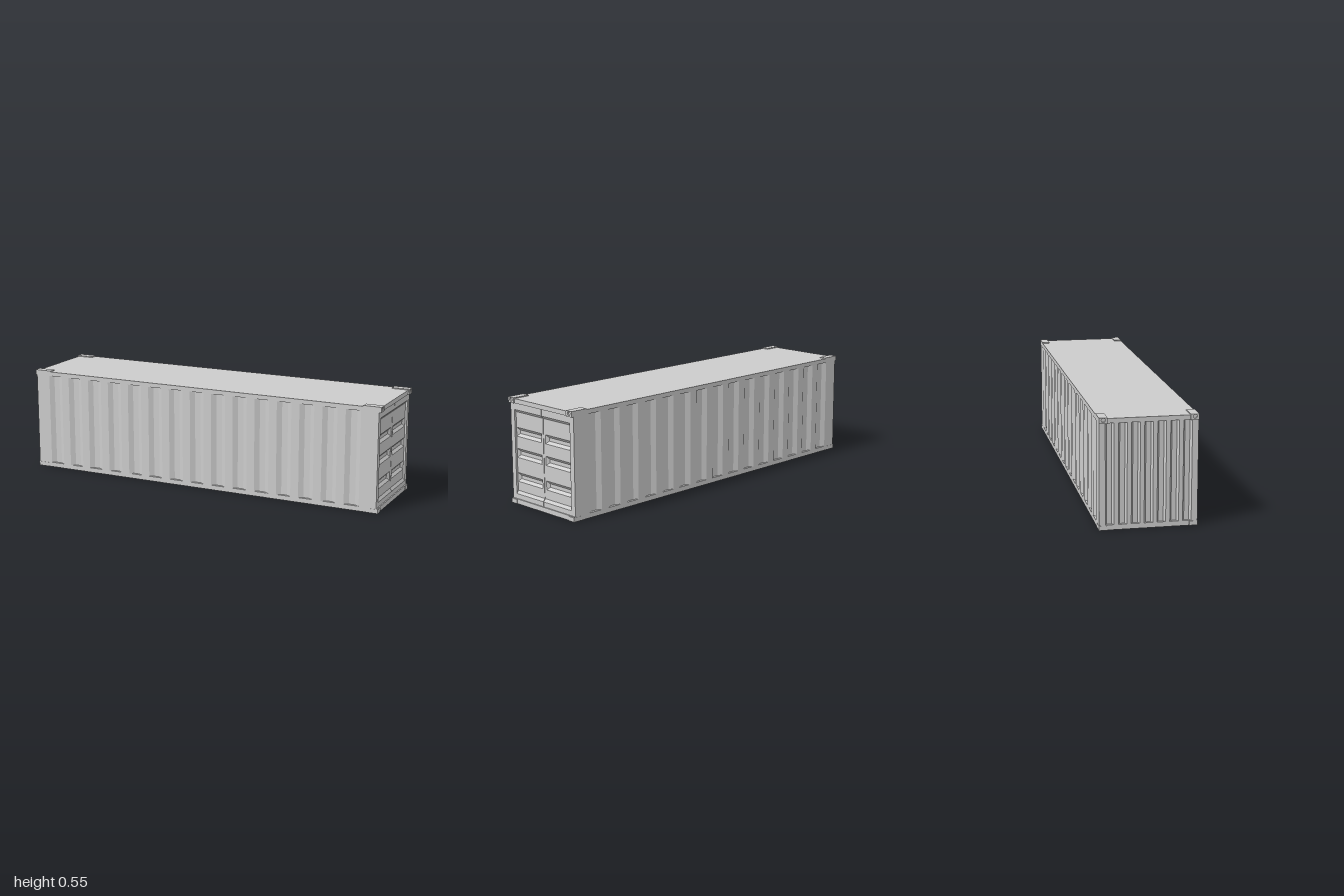
import * as THREE from 'three';
import { mergeGeometries } from 'three/addons/utils/BufferGeometryUtils.js';

const grey = new THREE.MeshStandardMaterial({ color: 0xcccccc, flatShading: true });
const HALF_W = 0.237;   // half width (z)
const END = 0.993;      // half length of the body (x)
const FLOOR = 0.025, EAVE = 0.517, ROOF = 0.54;
const DOOR_BACK = 0.958, DOOR_PANEL = 0.977, DOOR_FACE = 0.987;

function add(parent, name, geometry) {
  const mesh = new THREE.Mesh(geometry, grey);
  mesh.name = name;
  parent.add(mesh);
  return mesh;
}

// Box given by its lower and upper corners
function box(x0, y0, z0, x1, y1, z1) {
  return new THREE.BoxGeometry(x1 - x0, y1 - y0, z1 - z0)
    .translate((x0 + x1) / 2, (y0 + y1) / 2, (z0 + z1) / 2);
}

const polygon = (pts) => new THREE.Shape(pts.map(([x, y]) => new THREE.Vector2(x, y)));
const rect = (a0, y0, a1, y1) => [[a0, y0], [a1, y0], [a1, y1], [a0, y1]];
const extrude = (shape, depth) =>
  new THREE.ExtrudeGeometry(shape, { depth, bevelEnabled: false, curveSegments: 12 });

// Points [along, depth] of a row of trapezoid grooves
function grooves(start, count, pitch, width, slope, depth) {
  const pts = [];
  for (let i = 0; i < count; i++) {
    const s = start + i * pitch;
    pts.push([s, 0], [s + slope, depth], [s + width - slope, depth], [s + width, 0]);
  }
  return pts;
}

// Plan outline with grooved long sides and blind end, raised to wall height
function wallGeometry() {
  const side = grooves(-0.914, 15, 0.1235, 0.08, 0.024, 0.014);
  const end = grooves(-0.207, 7, 0.062, 0.042, 0.009, 0.014);
  const outline = [
    [-END, -HALF_W],
    ...side.map(([s, d]) => [s, -HALF_W + d]),
    [DOOR_BACK, -HALF_W], [DOOR_BACK, HALF_W],
    ...side.map(([s, d]) => [s, HALF_W - d]).reverse(),
    [-END, HALF_W],
    ...end.map(([s, d]) => [-END + d, s]).reverse(),
  ];
  return extrude(polygon(outline), EAVE - FLOOR).rotateX(-Math.PI / 2).translate(0, FLOOR, 0);
}

// Sunken tray with sloping sides, opening towards +z
function trayGeometry(a0, y0, a1, y1, slope, depth) {
  const outer = rect(a0, y0, a1, y1).map(([a, y]) => [a, y, 0]);
  const inner = rect(a0 + slope, y0 + slope, a1 - slope, y1 - slope).map(([a, y]) => [a, y, -depth]);
  const pos = [];
  const quad = (a, b, c, d) => pos.push(...a, ...b, ...c, ...a, ...c, ...d);
  for (let i = 0; i < 4; i++) {
    const j = (i + 1) % 4;
    quad(outer[i], outer[j], inner[j], inner[i]);
  }
  quad(...inner);
  const g = new THREE.BufferGeometry();
  g.setAttribute('position', new THREE.Float32BufferAttribute(pos, 3));
  g.computeVertexNormals();
  return g;
}

// One door leaf; side +1 is at +z, -1 at -z
function createDoor(side) {
  const door = new THREE.Group();
  door.name = side > 0 ? 'frontDoor' : 'backDoor';
  const span = (u0, u1) => [side * u0, side * u1].sort((a, b) => a - b);

  // Top and bottom rails with a slope down to the panel
  const [z0, z1] = span(0.0015, HALF_W);
  const rails = {
    bottomDoorRail: [[DOOR_BACK, FLOOR], [DOOR_FACE, FLOOR], [DOOR_FACE, 0.05], [DOOR_PANEL, 0.065], [DOOR_BACK, 0.065]],
    topDoorRail: [[DOOR_BACK, 0.47], [DOOR_PANEL, 0.47], [DOOR_FACE, 0.483], [DOOR_FACE, EAVE], [DOOR_BACK, EAVE]],
  };
  for (const [name, pts] of Object.entries(rails)) {
    add(door, name, extrude(polygon(pts), z1 - z0).translate(0, 0, z0));
  }

  // Hinge post
  const [p0, p1] = span(0.208, HALF_W);
  add(door, 'hingePost', box(DOOR_BACK, FLOOR, p0, DOOR_FACE, EAVE, p1));

  // Panel with three sunken trays
  const [a0, a1] = span(-0.0015, -0.208);
  const [t0, t1] = span(-0.015, -0.2075);
  const panel = polygon(rect(a0, 0.064, a1, 0.471));
  for (const [y0, y1] of [[0.112, 0.158], [0.236, 0.283], [0.345, 0.391]]) {
    panel.holes.push(new THREE.Path(rect(t0, y0, t1, y1).map(([a, y]) => new THREE.Vector2(a, y))));
    add(door, 'doorTray', trayGeometry(t0, y0, t1, y1, 0.014, 0.012)
      .rotateY(Math.PI / 2).translate(DOOR_PANEL, 0, 0));
  }
  const thick = DOOR_PANEL - DOOR_BACK;
  add(door, 'doorPanel', extrude(panel, thick).rotateY(Math.PI / 2).translate(DOOR_BACK, 0, 0));
  return door;
}

// Top corner casting at the +x end, with a round socket in its end face
function castingGeometry() {
  const face = polygon(rect(-0.0205, EAVE, 0.0205, 0.545));
  face.holes.push(new THREE.Path().absarc(0, 0.533, 0.0095, 0, Math.PI * 2, true));
  const plate = extrude(face, 0.008).rotateY(Math.PI / 2).translate(0.992, 0, 0);
  const block = box(0.905, EAVE, -0.0205, 0.992, 0.545, 0.0205).toNonIndexed();
  return mergeGeometries([plate, block]);
}

export function createModel() {
  const model = new THREE.Group();
  model.name = 'shippingContainer';

  add(model, 'corrugatedWalls', wallGeometry());
  add(model, 'base', box(-END, 0, -HALF_W, END, FLOOR, HALF_W));
  add(model, 'roof', box(-END, EAVE, -HALF_W, END, ROOF, HALF_W));

  for (const side of [1, -1]) model.add(createDoor(side));

  // Corner castings
  const casting = castingGeometry();
  for (const end of [1, -1]) {
    for (const side of [1, -1]) {
      const top = add(model, 'topCornerCasting', casting);
      top.position.z = side * 0.2175;
      if (end < 0) top.rotation.y = Math.PI;
      const foot = add(model, 'bottomCornerCasting', new THREE.BoxGeometry(0.06, 0.022, 0.04));
      foot.position.set(end * 0.966, 0.011, side * 0.218);
    }
  }
  return model;
}
